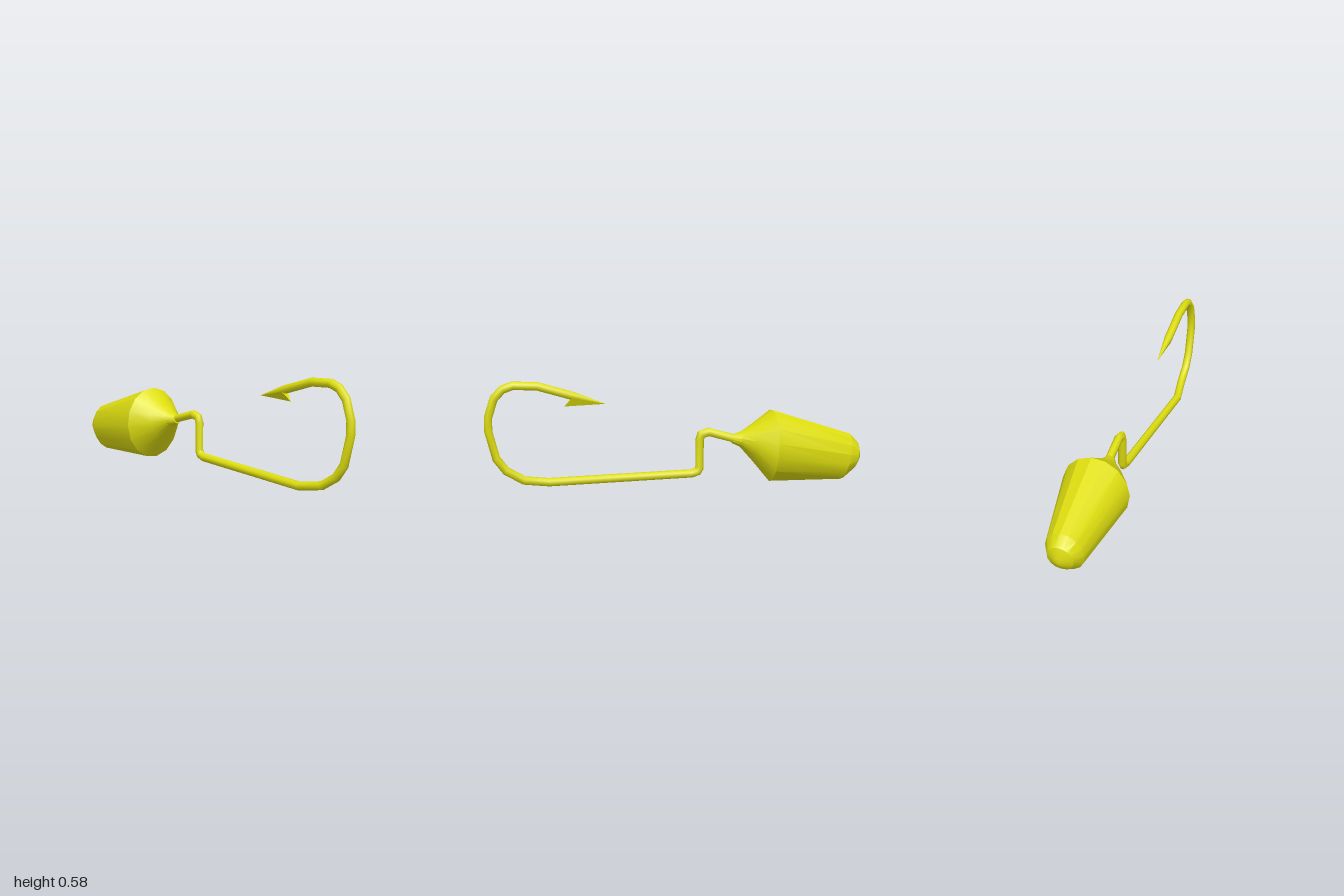
import * as THREE from 'three';
import { toCreasedNormals } from 'three/addons/utils/BufferGeometryUtils.js';
import { ConvexGeometry } from 'three/addons/geometries/ConvexGeometry.js';

const V = (x, y, z) => new THREE.Vector3(x, y, z);

// Skin through rings; each ring is a centre c with half-axes u and v.
function loft(rings, sides, start, crease) {
  const pos = [], index = [];
  for (const { c, u, v } of rings) {
    for (let j = 0; j < sides; j++) {
      const a = start + (j / sides) * Math.PI * 2;
      const p = c.clone().addScaledVector(u, Math.cos(a)).addScaledVector(v, Math.sin(a));
      pos.push(p.x, p.y, p.z);
    }
  }
  for (let i = 0; i < rings.length - 1; i++) {
    for (let j = 0; j < sides; j++) {
      const k = (j + 1) % sides;
      const a = i * sides + j, b = i * sides + k, c = b + sides, d = a + sides;
      index.push(a, b, c, a, c, d);
    }
  }
  const g = new THREE.BufferGeometry();
  g.setAttribute('position', new THREE.Float32BufferAttribute(pos, 3));
  g.setIndex(index);
  return toCreasedNormals(g, crease);
}

// Rings along a bent wire, widened at the bends so its thickness stays even.
function wireRings(points) {
  const P = points.map(([x, y, z]) => V(x, y, z));
  return P.map((c, i) => {
    const before = c.clone().sub(P[Math.max(i - 1, 0)]).normalize();
    const after = P[Math.min(i + 1, P.length - 1)].clone().sub(c).normalize();
    const t = before.clone().add(after).normalize();
    const inner = i > 0 && i < P.length - 1;
    const mitre = inner ? 1 / Math.max(0.6, t.dot(after)) : 1;
    const r = points[i][3] ?? 0.022;
    const u = V(0, 0, 1).cross(t).normalize();
    const v = t.clone().cross(u).normalize();
    return { c, u: u.multiplyScalar(r * mitre), v: v.multiplyScalar(r) };
  });
}

export function createModel() {
  const group = new THREE.Group();
  const material = new THREE.MeshStandardMaterial({ color: 0xdede10 });
  const add = (name, geometry) => {
    const mesh = new THREE.Mesh(geometry, material);
    mesh.name = name;
    group.add(mesh);
  };

  // Weighted head: x, y, lean of the ring, half height, half width
  const head = [
    [-1.0, 0.123, 0, 0.001, 0.001],
    [-0.996, 0.126, -0.004, 0.025, 0.02],
    [-0.972, 0.13, -0.013, 0.072, 0.068],
    [-0.915, 0.128, -0.025, 0.124, 0.1],
    [-0.5, 0.204, -0.01, 0.191, 0.176],
    [-0.4, 0.229, -0.008, 0.095, 0.104],
    [-0.337, 0.244, -0.006, 0.04, 0.048],
    [-0.295, 0.248, -0.006, 0.024, 0.024],
    [-0.29, 0.249, 0, 0.001, 0.001],
  ].map(([x, y, lean, h, w]) => ({ c: V(x, y, 0), u: V(lean, h, 0), v: V(0, 0, w) }));
  add('weightedHead', loft(head, 15, Math.PI / 2, 0.4));

  // Wire: neck, drop, shank, bend and tapering point (x, y, z, optional radius)
  const wire = [
    [-0.34, 0.238, -0.004], [-0.165, 0.289, -0.004], [-0.125, 0.277, -0.004],
    [-0.116, 0.25, -0.004], [-0.116, 0.1, -0.003], [-0.105, 0.08, -0.002],
    [-0.075, 0.07, 0.0], [0.67, 0.046, 0.048], [0.8, 0.066, 0.028],
    [0.89, 0.12, 0.027], [0.938, 0.185, 0.027], [0.975, 0.33, 0.027],
    [0.974, 0.4, 0.027], [0.944, 0.495, 0.027], [0.9, 0.542, 0.027],
    [0.847, 0.56, 0.027], [0.725, 0.554, 0.027], [0.545, 0.499, 0.026],
    [0.375, 0.452, 0.022, 0.001],
  ];
  add('hookWire', loft(wireRings(wire), 8, Math.PI / 8, 0.9));

  // Barb swept back under the point
  add('barb', new ConvexGeometry([
    V(0.375, 0.452, 0.022), V(0.587, 0.445, 0.025),
    V(0.545, 0.49, 0.046), V(0.545, 0.49, 0.006),
  ]));

  return group;
}
